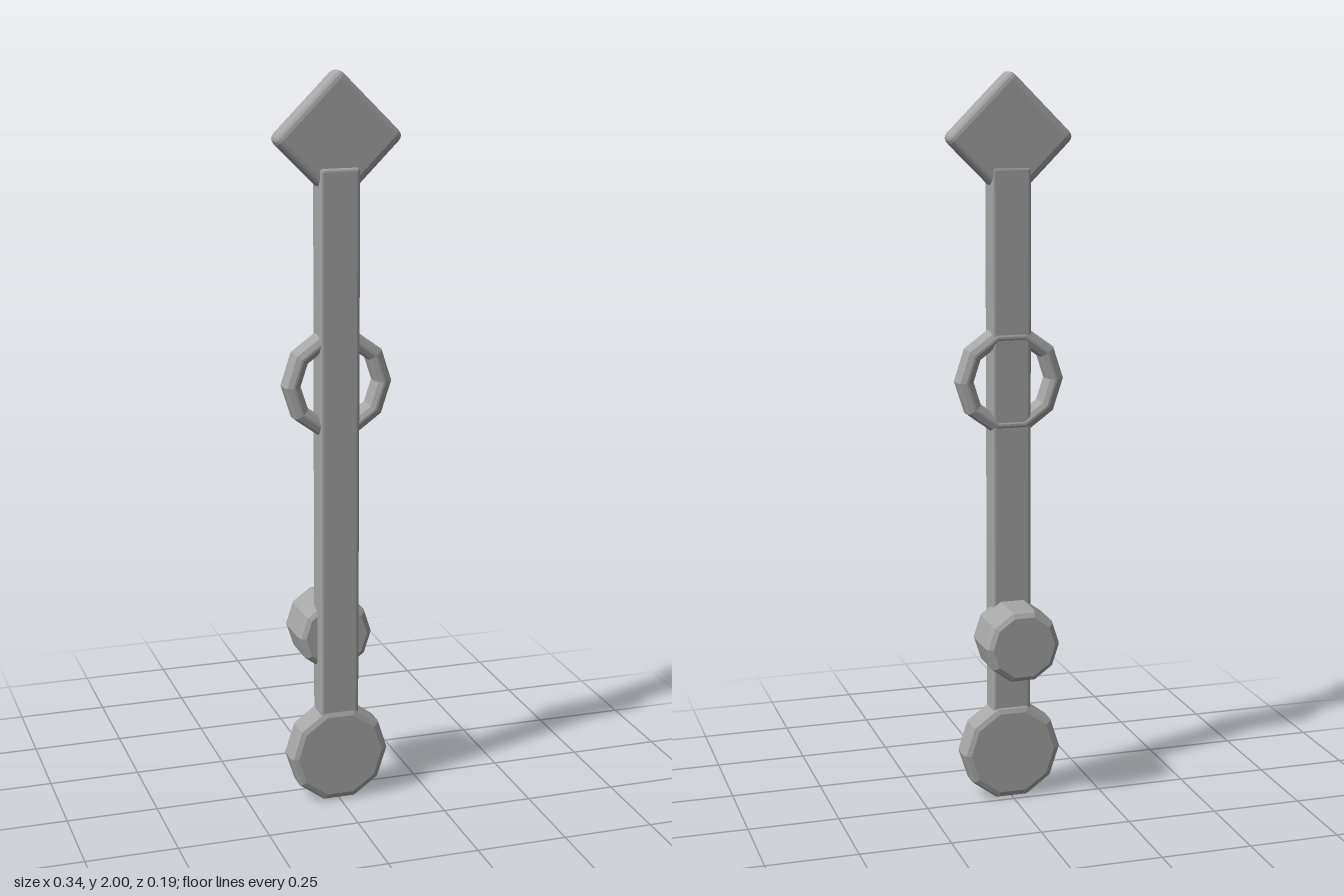
import * as THREE from 'three';
import { RoundedBoxGeometry } from 'three/addons/geometries/RoundedBoxGeometry.js';

export function createModel() {
  const group = new THREE.Group();
  const grey = new THREE.MeshStandardMaterial({ color: 0xa6a6a6, flatShading: true });
  grey.name = 'grey metal';

  function add(name, geometry, y, z) {
    const mesh = new THREE.Mesh(geometry, grey);
    mesh.name = name;
    mesh.position.set(0, y, z);
    group.add(mesh);
    return mesh;
  }

  // Ten-sided turned part whose axis runs along z; profile is [radius, z]
  function turned(profile) {
    const points = profile.map(([r, z]) => new THREE.Vector2(r, z));
    return new THREE.LatheGeometry(points, 10, Math.PI / 2).rotateX(Math.PI / 2);
  }

  // Ten-sided disc with a two-step softened rim on both faces
  function softDisc(r, z0, z1, inset, depth) {
    const half = [[r - inset, 0], [r - inset * 0.3, depth * 0.3], [r, depth]];
    return turned([
      [0, z0],
      ...half.map(([x, d]) => [x, z0 + d]),
      ...half.reverse().map(([x, d]) => [x, z1 - d]),
      [0, z1],
    ]);
  }

  // Long bar
  add('shaft', new RoundedBoxGeometry(0.11, 1.62, 0.072, 2, 0.01), 0.945, 0.054);

  // Square plate standing on its corner
  const tip = add('diamondTip', new RoundedBoxGeometry(0.252, 0.252, 0.064, 2, 0.02), 1.83, 0.052);
  tip.rotation.z = Math.PI / 4;

  // Ring around the shaft, with bevelled inner and outer edges
  add('ring', turned([
    [0.128, 0.016], [0.143, 0.022], [0.149, 0.035], [0.149, 0.067], [0.143, 0.08], [0.128, 0.086],
    [0.122, 0.086], [0.109, 0.08], [0.103, 0.067], [0.103, 0.035], [0.109, 0.022], [0.122, 0.016],
    [0.128, 0.016],
  ]), 1.182, 0);

  // Pivot knob on the back
  add('pivotKnob', softDisc(0.105, -0.097, 0.06, 0.018, 0.025), 0.47, 0);

  // Counterweight at the bottom
  add('counterweight', softDisc(0.14, 0.009, 0.095, 0.02, 0.018), 0.133, 0);

  return group;
}
